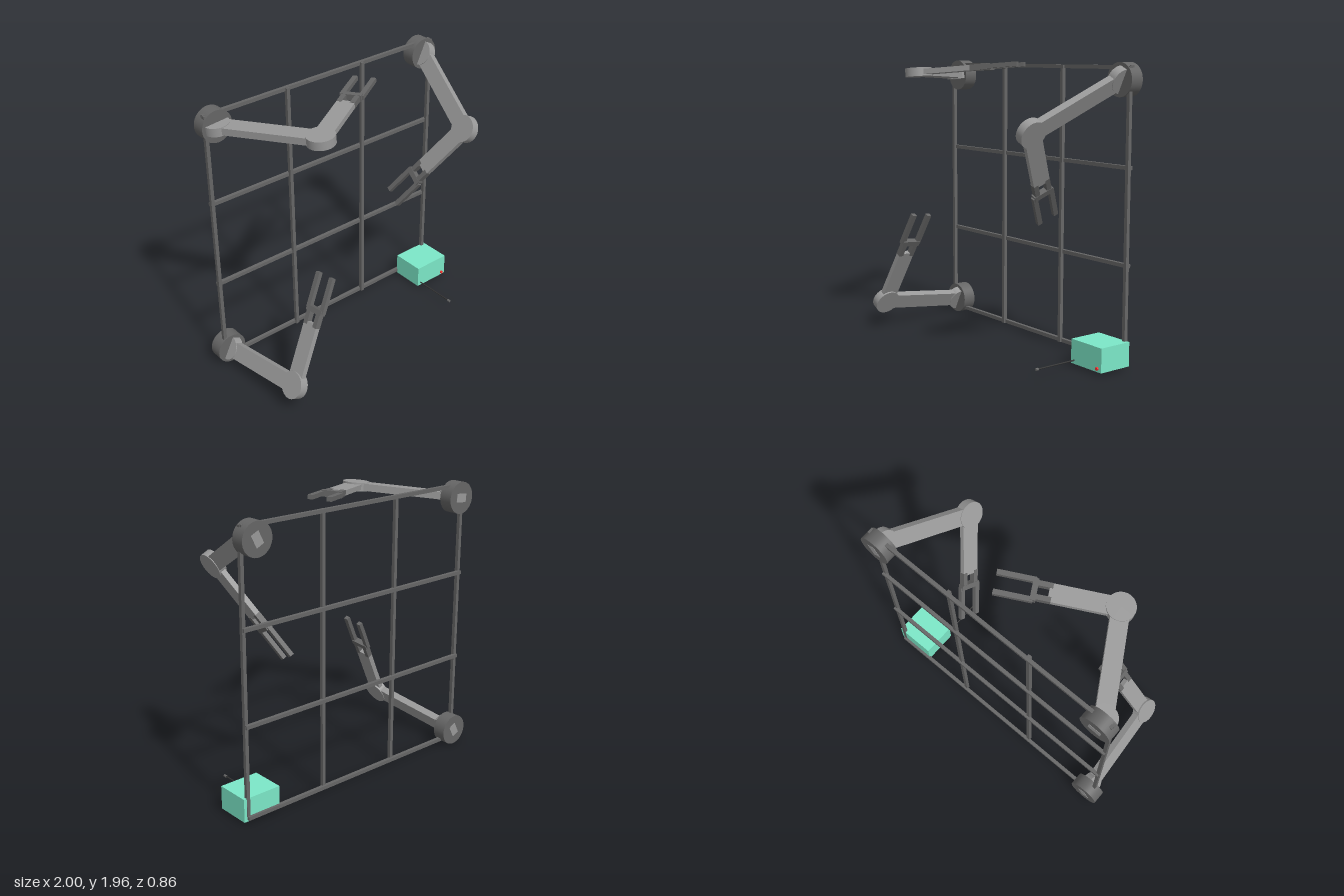
import * as THREE from 'three';

const paint = (color) => new THREE.MeshStandardMaterial({ color });
const armGrey = paint(0x999999);
const darkGrey = paint(0x666666);
const black = paint(0x333333);
const green = paint(0x7ce8c8);
const red = paint(0xff3333);

function add(parent, name, geometry, material, x, y, z) {
  const mesh = new THREE.Mesh(geometry, material);
  mesh.name = name;
  mesh.position.set(x, y, z);
  parent.add(mesh);
  return mesh;
}

const box = (w, h, d) => new THREE.BoxGeometry(w, h, d);
const disc = (r, h, n = 48) => new THREE.CylinderGeometry(r, r, h, n);

// Grid of four upright and four level square bars
function makeFrame() {
  const frame = new THREE.Group();
  frame.name = 'frame';
  const bar = 0.025, length = 1.91, step = 0.63;
  for (let i = 0; i < 4; i++) {
    add(frame, 'uprightBar', box(bar, length, bar), darkGrey, -0.933 + i * step, 0.988, -0.358);
    add(frame, 'levelBar', box(length, bar, bar), darkGrey, 0.012, 0.044 + i * step, -0.373);
  }
  return frame;
}

// Link group whose x axis runs from (u, w) at the given angle in the arm's plane
function makeLink(parent, name, u, w, angle) {
  const link = new THREE.Group();
  link.name = name;
  link.position.set(u, 0, w);
  link.rotation.y = -angle;
  parent.add(link);
  return link;
}

// Robot arm on a round wall mount: local x lies along the wall, z points away from it
function makeArm({ x, y, turn, upperAngle, foreAngle }) {
  const arm = new THREE.Group();
  arm.name = 'robotArm';
  arm.position.set(x, y, -0.345);
  arm.rotation.z = THREE.MathUtils.degToRad(turn);

  add(arm, 'wallMount', disc(0.11, 0.094), darkGrey, 0, 0, -0.039).rotation.x = Math.PI / 2;
  add(arm, 'backPlate', box(0.09, 0.06, 0.02), armGrey, 0, 0, -0.078);
  add(arm, 'shoulderJoint', disc(0.085, 0.06), armGrey, 0, 0, 0);

  const reach = 0.69;
  const a = THREE.MathUtils.degToRad(upperAngle);
  const upper = makeLink(arm, 'upperArm', 0, 0, a);
  add(upper, 'upperArmBeam', box(reach, 0.05, 0.115), armGrey, reach / 2, 0, 0);

  const fore = makeLink(arm, 'forearm', reach * Math.cos(a), reach * Math.sin(a),
    THREE.MathUtils.degToRad(foreAngle));
  add(fore, 'elbowJoint', disc(0.093, 0.06), armGrey, 0, 0, 0);
  add(fore, 'forearmBeam', box(0.44, 0.036, 0.122), armGrey, 0.22, 0, 0);

  // Gripper: two wrist rails, a crossbar and two fingers
  add(fore, 'gripperCrossbar', box(0.036, 0.044, 0.142), darkGrey, 0.528, 0, 0);
  for (const side of [-1, 1]) {
    add(fore, 'wristRail', box(0.11, 0.04, 0.034), darkGrey, 0.475, 0, side * 0.045);
    add(fore, 'gripperFinger', box(0.245, 0.03, 0.034), darkGrey, 0.648, 0, side * 0.064);
  }
  return arm;
}

// Control box with a red button and a thin probe in front
function makeControlBox() {
  const unit = new THREE.Group();
  unit.name = 'controlBox';
  add(unit, 'housing', box(0.284, 0.163, 0.245), green, 0.849, 0.101, -0.245);
  add(unit, 'button', disc(0.011, 0.02, 24), red, 0.957, 0.043, -0.121).rotation.x = Math.PI / 2;
  add(unit, 'probeRod', disc(0.005, 0.32, 16), black, 0.736, 0.043, 0.03).rotation.x = Math.PI / 2;
  add(unit, 'probeTip', disc(0.009, 0.02, 16), darkGrey, 0.736, 0.043, 0.192).rotation.x = Math.PI / 2;
  return unit;
}

export function createModel() {
  const model = new THREE.Group();
  model.name = 'wallFrameWithArms';
  model.add(makeFrame());
  const arms = [
    { x: -0.86, y: 1.856, turn: 5.2, upperAngle: 59.2, foreAngle: -29.6 },
    { x: 0.887, y: 1.857, turn: -116, upperAngle: 59.2, foreAngle: -29.8 },
    { x: -0.89, y: 0.113, turn: 62.7, upperAngle: 81.7, foreAngle: -6.7 },
  ];
  for (const spec of arms) model.add(makeArm(spec));
  model.add(makeControlBox());
  return model;
}
